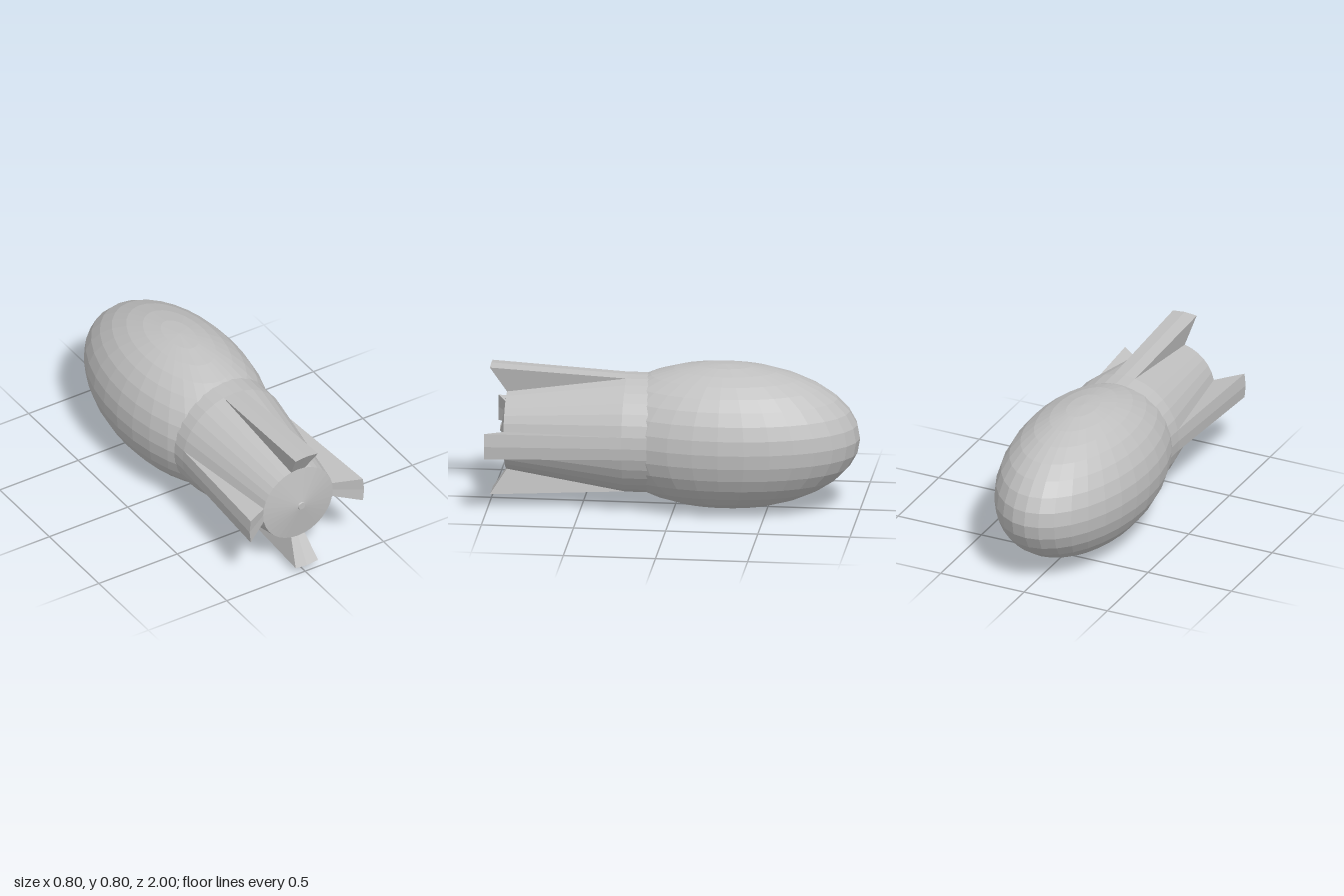
import * as THREE from 'three';

export function createModel() {
  const model = new THREE.Group();
  const grey = new THREE.MeshStandardMaterial({ color: 0xc0c0c0, flatShading: true, side: THREE.DoubleSide });
  grey.name = 'plain grey';

  const add = (parent, geometry, name) => {
    const mesh = new THREE.Mesh(geometry, grey);
    mesh.name = name;
    parent.add(mesh);
    return mesh;
  };
  const points = (list) => list.map(([r, y]) => new THREE.Vector2(r, y));

  // Egg-shaped body, poles up and down
  const body = add(model, new THREE.SphereGeometry(0.4, 32, 16), 'body');
  body.scale.z = 0.73 / 0.4;
  body.position.set(0, 0.402, -0.27);

  // Tail section, turned around its axis and laid along +z
  const tail = new THREE.Group();
  tail.name = 'tail';
  tail.rotation.x = Math.PI / 2;
  tail.position.set(0.011, 0.403, 0);
  model.add(tail);

  // Collar and tapered cone
  add(tail, new THREE.LatheGeometry(points([[0.325, 0], [0.325, 0.26], [0.222, 0.91]]), 32), 'tailCone');
  // Shallow end cap and its small centre knob
  add(tail, new THREE.LatheGeometry(points([[0.222, 0.91], [0.023, 0.944]]), 32), 'endCap');
  add(tail, new THREE.LatheGeometry(points([[0.023, 0.944], [0.02, 0.95], [0, 0.95]]), 32), 'knob');

  // Four wedge fins, each a narrow slice of a flared skirt
  const profile = points([[0.325, 0.26], [0.365, 1.0], [0.222, 0.91]]);
  const half = Math.PI / 16;
  for (let i = 0; i < 4; i++) {
    const fin = new THREE.Group();
    fin.name = 'fin' + (i + 1);
    fin.rotation.y = i * Math.PI / 2;
    tail.add(fin);
    add(fin, new THREE.LatheGeometry(profile, 2, -half, 2 * half), 'finOuterFace');
    for (const side of [-1, 1]) {
      const cheek = new THREE.ShapeGeometry(new THREE.Shape(profile));
      cheek.rotateY(side * half - Math.PI / 2);
      add(fin, cheek, 'finSide');
    }
  }
  return model;
}
